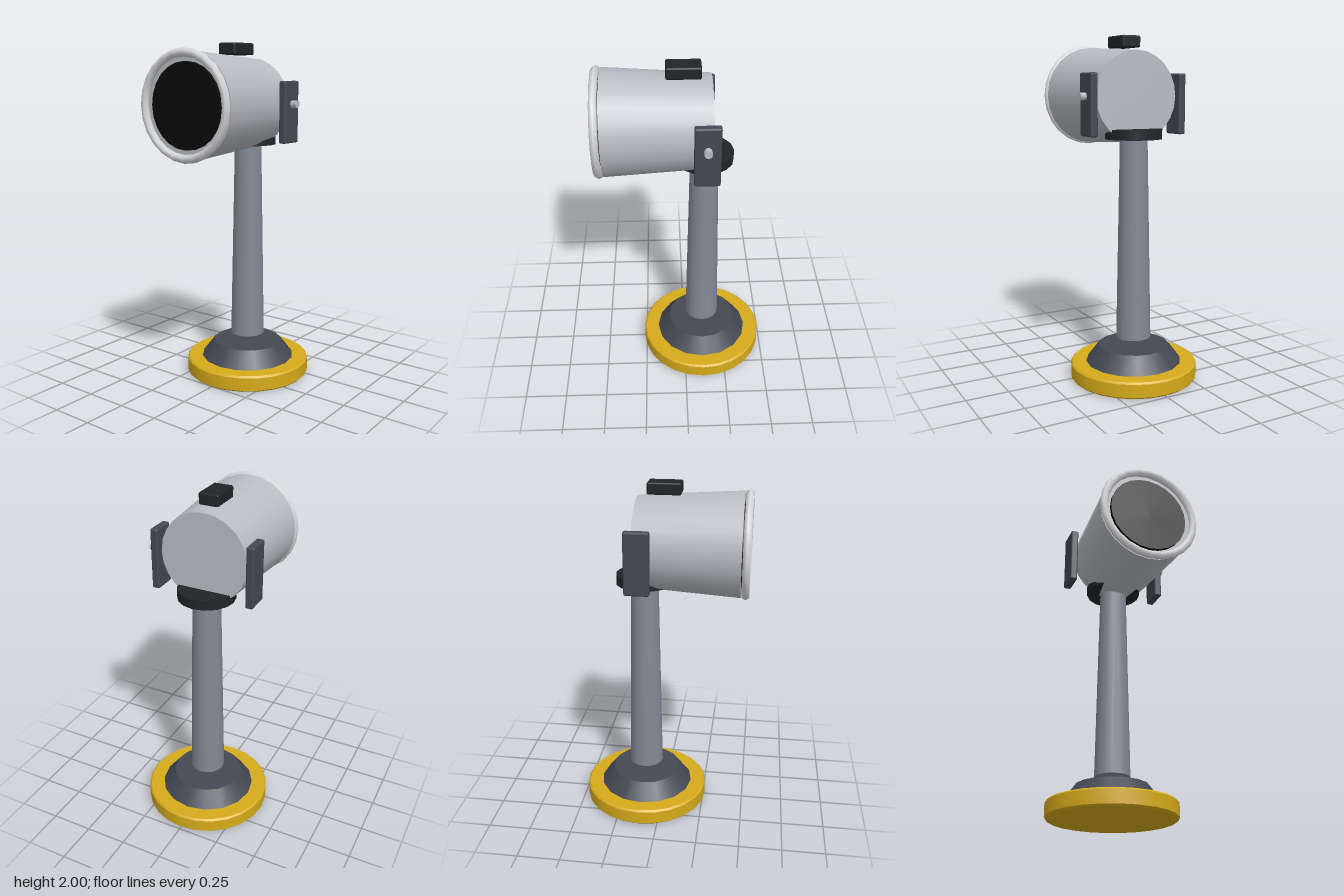
import * as THREE from 'three';
import { toCreasedNormals } from 'three/addons/utils/BufferGeometryUtils.js';
import { RoundedBoxGeometry } from 'three/addons/geometries/RoundedBoxGeometry.js';

const AXIS_Z = -0.113; // z of the post and base
const HEAD_Y = 1.66; // height of the lamp axis

const material = (color) => new THREE.MeshStandardMaterial({ color });
const yellow = material(0xd6ab1a);
const slate = material(0x434853);
const steel = material(0x838a95);
const silver = material(0xb9bcc3);
const bright = material(0xd8d9dd);
const black = material(0x222428);
const glass = material(0x0b0b0b);

export function createModel() {
  const model = new THREE.Group();

  const add = (name, geometry, mat, x, y, z) => {
    const mesh = new THREE.Mesh(geometry, mat);
    mesh.name = name;
    mesh.position.set(x, y, z);
    model.add(mesh);
    return mesh;
  };

  // Upright tapered cylinder between two heights on the post axis
  const upright = (name, rTop, rBottom, y0, y1, sides, mat) =>
    add(name, new THREE.CylinderGeometry(rTop, rBottom, y1 - y0, sides), mat, 0, (y0 + y1) / 2, AXIS_Z);

  // Cylinder lying along z; rFront is the radius at the +z end
  const alongZ = (name, rFront, rBack, z0, z1, sides, mat) => {
    const geometry = new THREE.CylinderGeometry(rFront, rBack, z1 - z0, sides).rotateX(Math.PI / 2);
    return add(name, geometry, mat, 0, HEAD_Y, (z0 + z1) / 2);
  };

  // Base disc with chamfered edges
  const profile = [[0, 0], [0.365, 0], [0.375, 0.01], [0.375, 0.087], [0.365, 0.097], [0, 0.097]]
    .map(([r, y]) => new THREE.Vector2(r, y));
  add('base', toCreasedNormals(new THREE.LatheGeometry(profile, 24), 0.5), yellow, 0, 0, AXIS_Z);

  // Stand: sloped foot, post and the collar under the lamp
  upright('foot', 0.21, 0.285, 0.095, 0.193, 16, slate);
  upright('post', 0.08, 0.103, 0.242, 1.43, 16, steel);
  upright('collar', 0.165, 0.165, 1.418, 1.475, 16, black);

  // Lamp head
  alongZ('housing', 0.294, 0.257, -0.148, 0.44, 24, silver);
  add('rim', new THREE.TorusGeometry(0.281, 0.024, 6, 24), bright, 0, HEAD_Y, 0.466);
  alongZ('lens', 0.235, 0.235, 0.43, 0.46, 24, glass);

  // Sight block on top
  add('sight', new RoundedBoxGeometry(0.117, 0.067, 0.188, 2, 0.01), black, 0, 1.9665, 0.004);

  // Side brackets and the pivot knob on the left one
  for (const [name, side] of [['leftBracket', 1], ['rightBracket', -1]]) {
    add(name, new RoundedBoxGeometry(0.045, 0.35, 0.14, 2, 0.01), slate, side * 0.284, 1.614, AXIS_Z);
  }
  const knob = new THREE.CylinderGeometry(0.022, 0.022, 0.06, 10).rotateZ(Math.PI / 2);
  add('knob', knob, silver, 0.312, HEAD_Y, AXIS_Z);

  return model;
}
